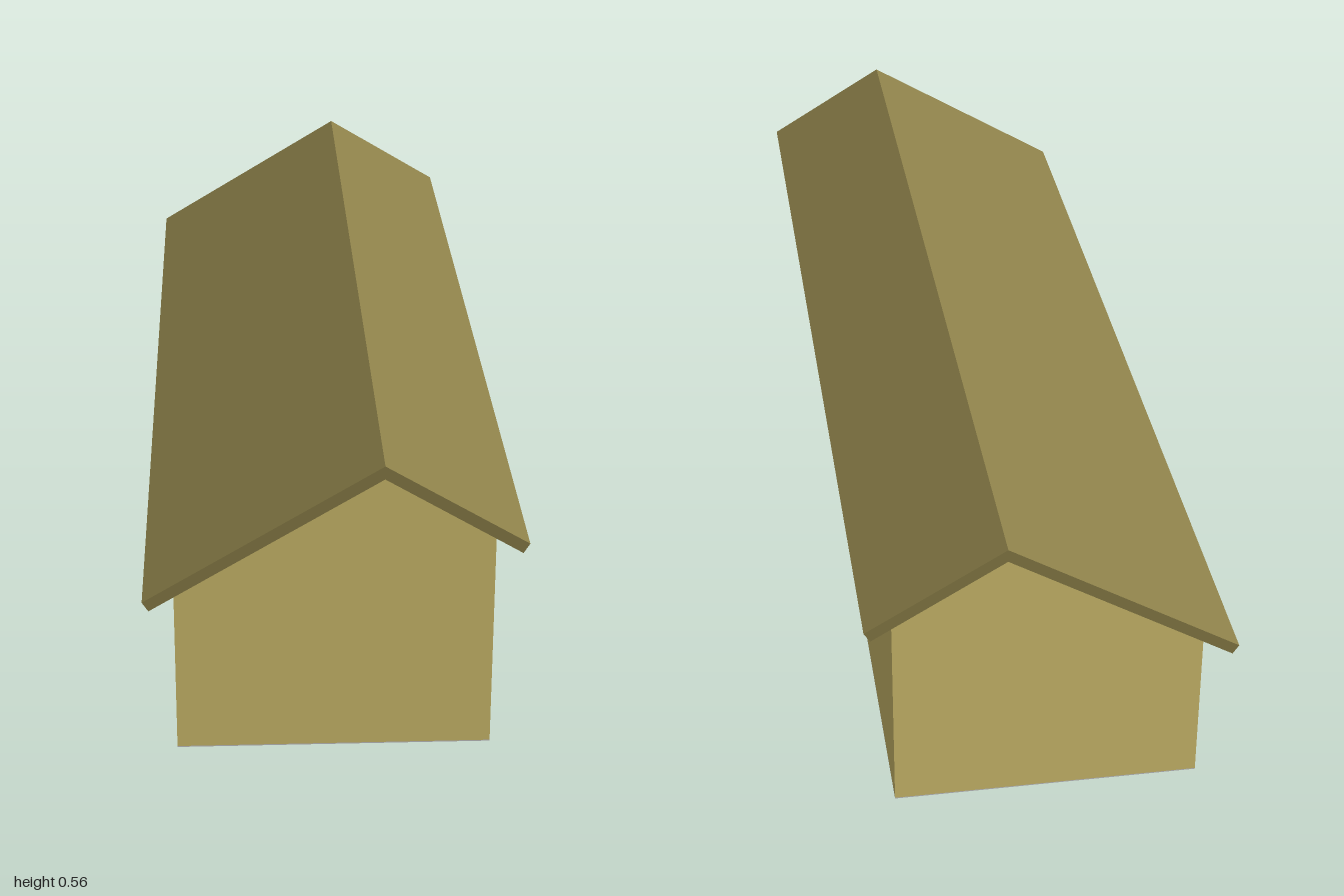
import * as THREE from 'three';

// Extrudes a front-view outline along z, centred on z = 0
function prism(name, points, length, color) {
  const shape = new THREE.Shape(points.map(([x, y]) => new THREE.Vector2(x, y)));
  const geometry = new THREE.ExtrudeGeometry(shape, { depth: length, bevelEnabled: false });
  geometry.translate(0, 0, -length / 2);
  const mesh = new THREE.Mesh(geometry, new THREE.MeshStandardMaterial({ color }));
  mesh.name = name;
  return mesh;
}

export function createModel() {
  const group = new THREE.Group();
  group.name = 'longHouse';

  const ridgeX = 0.082, ridgeY = 0.541, pitch = 0.602;
  const halfWidth = 0.278, floorTop = 0.002, wallLength = 1.912;
  const under = (x) => ridgeY - pitch * Math.abs(x - ridgeX); // roof underside

  // Walls with uneven gables
  group.add(prism('walls', [
    [-halfWidth, floorTop], [halfWidth, floorTop],
    [halfWidth, under(halfWidth)], [ridgeX, ridgeY], [-halfWidth, under(-halfWidth)],
  ], wallLength, 0xd8c572));

  // Roof slab with overhanging eaves cut square to the slope
  group.add(prism('roof', [
    [-0.32, under(-0.32)], [ridgeX, ridgeY], [0.319, under(0.319)],
    [0.33, 0.416], [ridgeX, 0.565], [-0.331, 0.316],
  ], 2, 0x8c8049));

  // Floor slab
  const floor = new THREE.Mesh(
    new THREE.BoxGeometry(halfWidth * 2, floorTop, wallLength),
    new THREE.MeshStandardMaterial({ color: 0xcccccc }));
  floor.name = 'floor';
  floor.position.y = floorTop / 2;
  group.add(floor);

  return group;
}
